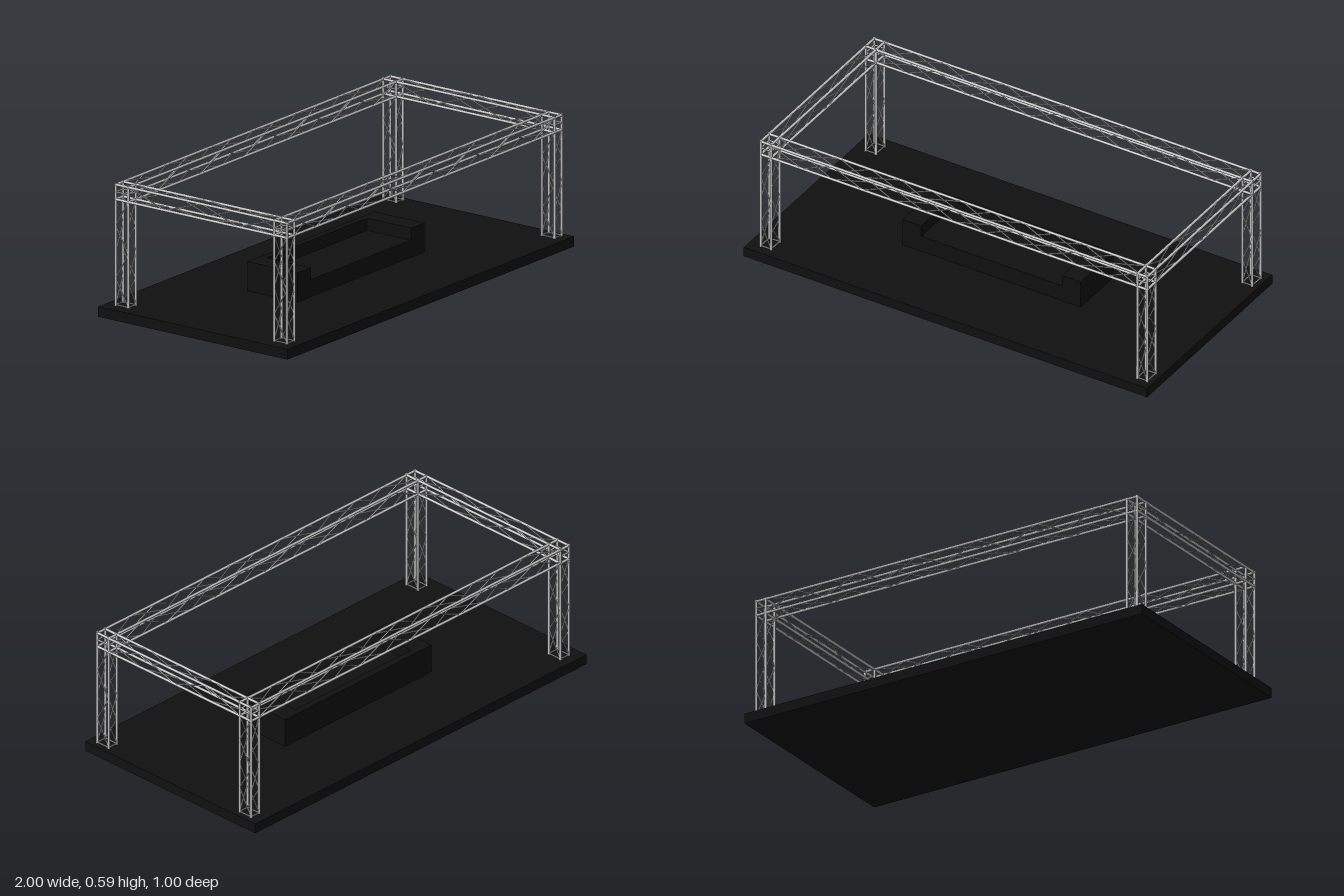
import * as THREE from 'three';
import { mergeGeometries } from 'three/addons/utils/BufferGeometryUtils.js';

const steel = new THREE.MeshStandardMaterial({ color: 0xcccccc });
const black = new THREE.MeshStandardMaterial({ color: 0x101010 });

const CHORD = 0.006, BRACE = 0.003;
const DECK = 0.045, LOW = 0.514, HIGH = 0.579;
// chord centre lines of the truss runs
const SIDES = { left: [0.925, 0.973], right: [-0.943, -0.892] };
const ENDS = { front: [0.388, 0.455], back: [-0.45, -0.383] };

// round bar between two points
function bar(a, b, radius) {
  const dir = b.clone().sub(a);
  const g = new THREE.CylinderGeometry(radius, radius, dir.length(), 8);
  g.applyQuaternion(new THREE.Quaternion().setFromUnitVectors(new THREE.Vector3(0, 1, 0), dir.normalize()));
  const mid = a.clone().add(b).multiplyScalar(0.5);
  return g.translate(mid.x, mid.y, mid.z);
}

// four-chord truss; chords span `full`, zigzag bracing spans `braced`
function truss(name, axis, full, braced, u, v, segments) {
  const corners = [[u[0], v[0]], [u[1], v[0]], [u[1], v[1]], [u[0], v[1]]];
  const at = (t, [p, q]) => axis === 'x' ? new THREE.Vector3(t, p, q)
    : axis === 'y' ? new THREE.Vector3(p, t, q) : new THREE.Vector3(p, q, t);
  const parts = [];
  corners.forEach((c, i) => {
    const next = corners[(i + 1) % 4];
    parts.push(bar(at(full[0], c), at(full[1], c), CHORD));
    for (const t of braced) parts.push(bar(at(t, c), at(t, next), BRACE));
    for (let k = 0; k < segments; k++) {
      const t0 = THREE.MathUtils.lerp(braced[0], braced[1], k / segments);
      const t1 = THREE.MathUtils.lerp(braced[0], braced[1], (k + 1) / segments);
      const [from, to] = k % 2 ? [next, c] : [c, next];
      parts.push(bar(at(t0, from), at(t1, to), BRACE));
    }
  });
  const mesh = new THREE.Mesh(mergeGeometries(parts), steel);
  mesh.name = name;
  return mesh;
}

// horizontal ring of bars halfway up a corner
function cornerRing(name, x, z) {
  const y = (LOW + HIGH) / 2;
  const pts = [[0, 0], [1, 0], [1, 1], [0, 1]].map(([i, j]) => new THREE.Vector3(x[i], y, z[j]));
  const mesh = new THREE.Mesh(mergeGeometries(pts.map((p, i) => bar(p, pts[(i + 1) % 4], 0.004))), steel);
  mesh.name = name;
  return mesh;
}

function box(name, x, y, z) {
  const g = new THREE.BoxGeometry(x[1] - x[0], y[1] - y[0], z[1] - z[0]);
  const mesh = new THREE.Mesh(g, black);
  mesh.position.set((x[0] + x[1]) / 2, (y[0] + y[1]) / 2, (z[0] + z[1]) / 2);
  mesh.name = name;
  return mesh;
}

export function createModel() {
  const model = new THREE.Group();
  model.name = 'trussStage';

  // platform
  model.add(box('platform', [-1, 1], [0, DECK], [-0.5, 0.5]));

  // low block with raised arms and back around an open-fronted shelf
  const bench = new THREE.Group();
  bench.name = 'bench';
  bench.add(
    box('benchSeat', [-0.35, 0.35], [DECK, 0.12], [-0.1, 0.13]),
    box('benchBack', [-0.35, 0.35], [DECK, 0.174], [-0.132, -0.1]),
    box('benchLeftArm', [0.35, 0.442], [DECK, 0.174], [-0.132, 0.132]),
    box('benchRightArm', [-0.442, -0.35], [DECK, 0.174], [-0.132, 0.132]),
  );
  model.add(bench);

  // corner posts
  for (const [side, x] of Object.entries(SIDES)) {
    for (const [end, z] of Object.entries(ENDS)) {
      const id = `${end}${side[0].toUpperCase()}${side.slice(1)}`;
      model.add(truss(`${id}Post`, 'y', [DECK, HIGH + CHORD], [DECK + 0.004, LOW], x, z, 4));
      model.add(cornerRing(`${id}CornerRing`, x, z));
    }
  }

  // overhead frame
  const xs = [SIDES.right[0], SIDES.left[1]], zs = [ENDS.back[0], ENDS.front[1]];
  const xIn = [SIDES.right[1], SIDES.left[0]], zIn = [ENDS.back[1], ENDS.front[0]];
  for (const [end, z] of Object.entries(ENDS))
    model.add(truss(`${end}Beam`, 'x', xs, xIn, [LOW, HIGH], z, 12));
  for (const [side, x] of Object.entries(SIDES))
    model.add(truss(`${side}Beam`, 'z', zs, zIn, x, [LOW, HIGH], 4));

  return model;
}
